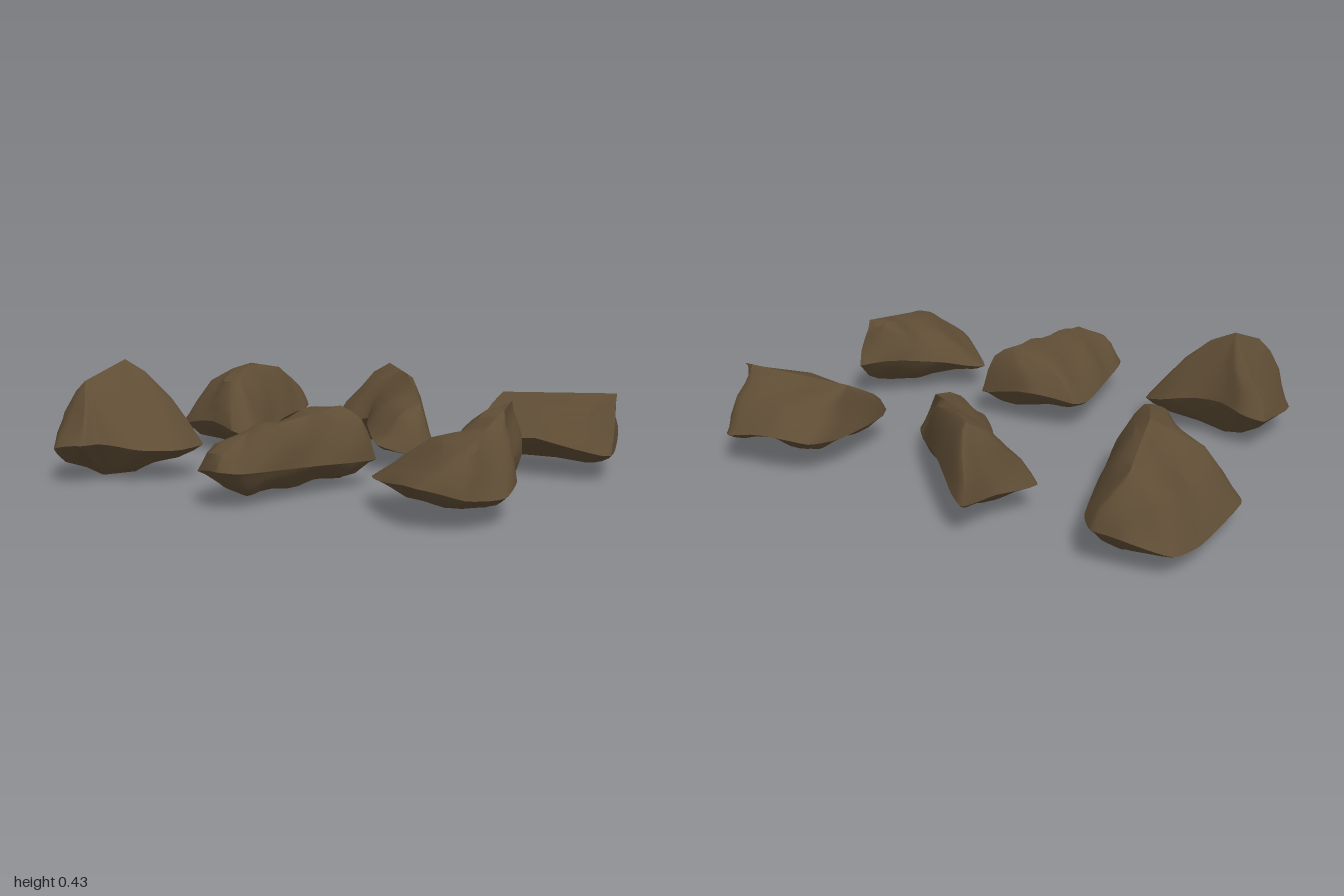
import * as THREE from 'three';
import { toCreasedNormals } from 'three/addons/utils/BufferGeometryUtils.js';

const { lerp, clamp } = THREE.MathUtils;

// Point on a polyline that is nearest to p in plan
function nearestOn(line, p) {
  let best = null, bestD = Infinity;
  for (let i = 0; i + 1 < line.length; i++) {
    const d = line[i + 1].clone().sub(line[i]);
    const t = ((p.x - line[i].x) * d.x + (p.z - line[i].z) * d.z) / (d.x * d.x + d.z * d.z);
    const q = line[i].clone().addScaledVector(d, clamp(t, 0, 1));
    const dist = Math.hypot(q.x - p.x, q.z - p.z);
    if (dist < bestD) { bestD = dist; best = q; }
  }
  return best;
}

// Gentle hollows and bumps on the flanks
function weather(p, amount) {
  const { x, y, z } = p;
  p.x += amount * Math.sin(19 * z + 13 * y + 4 * x);
  p.y += amount * Math.sin(17 * x - 21 * z + 1.3);
  p.z += amount * Math.sin(23 * x + 11 * y + 0.7);
  return p;
}

// outline: widest girth [x, z], clockwise from above; crest: top line [x, y, z];
// floor: lowest height; plump: how far the flanks bulge
function rockGeometry(outline, crestPoints, floor, plump) {
  const crest = crestPoints.map((c) => new THREE.Vector3(...c));
  const girth = new THREE.CatmullRomCurve3(
    outline.map(([x, z]) => new THREE.Vector3(x, 0, z)), true, 'catmullrom', 0.25);
  const count = outline.length * 4;
  const rim = girth.getPoints(count).slice(0, count);

  // The keel is the crest drawn in towards the middle and laid at floor height
  const middle = rim.reduce((sum, p) => sum.add(p), new THREE.Vector3()).divideScalar(count);
  const keel = crest.map((c) => c.clone().lerp(middle, 0.4).setY(floor));

  // The girth wanders about a third of the way up to the nearest crest
  rim.forEach((p) => {
    p.y = lerp(floor, nearestOn(crest, p).y, 0.33) + 0.03 * Math.cos(9.4 * p.x);
  });

  // Layers run from a point on the keel out to the girth and back in to a point on the crest
  const ring = (line, t) => rim.map((p) => {
    const end = nearestOn(line, p);
    const y = lerp(p.y, end.y, 1 - Math.pow(1 - t, plump));
    return weather(new THREE.Vector3(lerp(p.x, end.x, t), y, lerp(p.z, end.z, t)), 0.055 * t * (1 - t));
  });
  const pole = (line) => rim.map(() => nearestOn(line, middle));
  const layers = [
    pole(keel), ...[1, 0.65, 0.3, 0.1].map((t) => ring(keel, t)),
    ...[0, 0.08, 0.22, 0.45, 0.72, 1].map((t) => ring(crest, t)), pole(crest),
  ];
  const index = [];
  for (let r = 0; r + 1 < layers.length; r++) {
    for (let i = 0; i < count; i++) {
      const a = r * count + i, b = r * count + (i + 1) % count;
      index.push(a, a + count, b, b, a + count, b + count);
    }
  }
  const geometry = new THREE.BufferGeometry().setFromPoints(layers.flat());
  geometry.setIndex(index);
  return toCreasedNormals(geometry, 0.5);
}

export function createModel() {
  const group = new THREE.Group();
  group.name = 'rocks';
  const stone = new THREE.MeshStandardMaterial({ color: 0x5f4d35 });
  stone.name = 'brownStone';

  const addRock = (name, outline, crest, floor, plump) => {
    const mesh = new THREE.Mesh(rockGeometry(outline, crest, floor, plump), stone);
    mesh.name = name;
    group.add(mesh);
  };

  // Long, tall slab
  addRock('backLeftRock',
    [[-1, -.38], [-.96, -.7], [-.91, -.83], [-.78, -.865], [-.65, -.86], [-.58, -.74],
      [-.5, -.36], [-.44, -.08], [-.53, -.035], [-.8, -.17], [-.93, -.27]],
    [[-.73, .31, -.74], [-.68, .36, -.42], [-.61, .32, -.2]], 0.01, 1.7);

  // Slanting wedge with its steep side at the back
  addRock('backMiddleRock',
    [[-.335, -.56], [-.25, -.71], [-.2, -.86], [-.12, -.8], [.13, -.48], [.325, -.2],
      [.29, -.09], [.13, -.05], [-.03, -.28], [-.13, -.48], [-.24, -.48]],
    [[-.14, .36, -.71], [.04, .34, -.51], [.22, .25, -.26]], 0.03, 1.6);

  // Ridged block with straight ends
  addRock('backRightRock',
    [[.475, -.2], [.475, -.52], [.53, -.66], [.65, -.705], [.85, -.69], [.91, -.63], [.99, -.3], [.96, -.23]],
    [[.5, .3, -.43], [.96, .32, -.43]], 0.05, 1.4);

  // Peaked boulder with a spur
  addRock('frontLeftRock',
    [[-.94, .55], [-.91, .28], [-.82, .255], [-.73, .29], [-.51, .295], [-.41, .34],
      [-.41, .48], [-.51, .6], [-.64, .67], [-.67, .74], [-.8, .73]],
    [[-.8, .37, .55], [-.75, .44, .37]], 0.01, 1.35);

  // Rounded, tapering block
  addRock('frontMiddleRock',
    [[-.2, .25], [-.17, .16], [0, .125], [.25, .19], [.18, .45], [.13, .62], [.07, .82],
      [0, .855], [-.15, .75], [-.18, .5]],
    [[.13, .3, .24], [.04, .26, .72]], 0.04, 2.3);

  // Pointed rock, highest at its back corner
  addRock('frontRightRock',
    [[.38, .48], [.5, .36], [.6, .24], [.78, .105], [.8, .27], [.88, .42], [.91, .6],
      [.84, .76], [.7, .8], [.58, .72]],
    [[.765, .35, .17], [.8, .25, .67]], 0.05, 1.75);

  return group;
}
